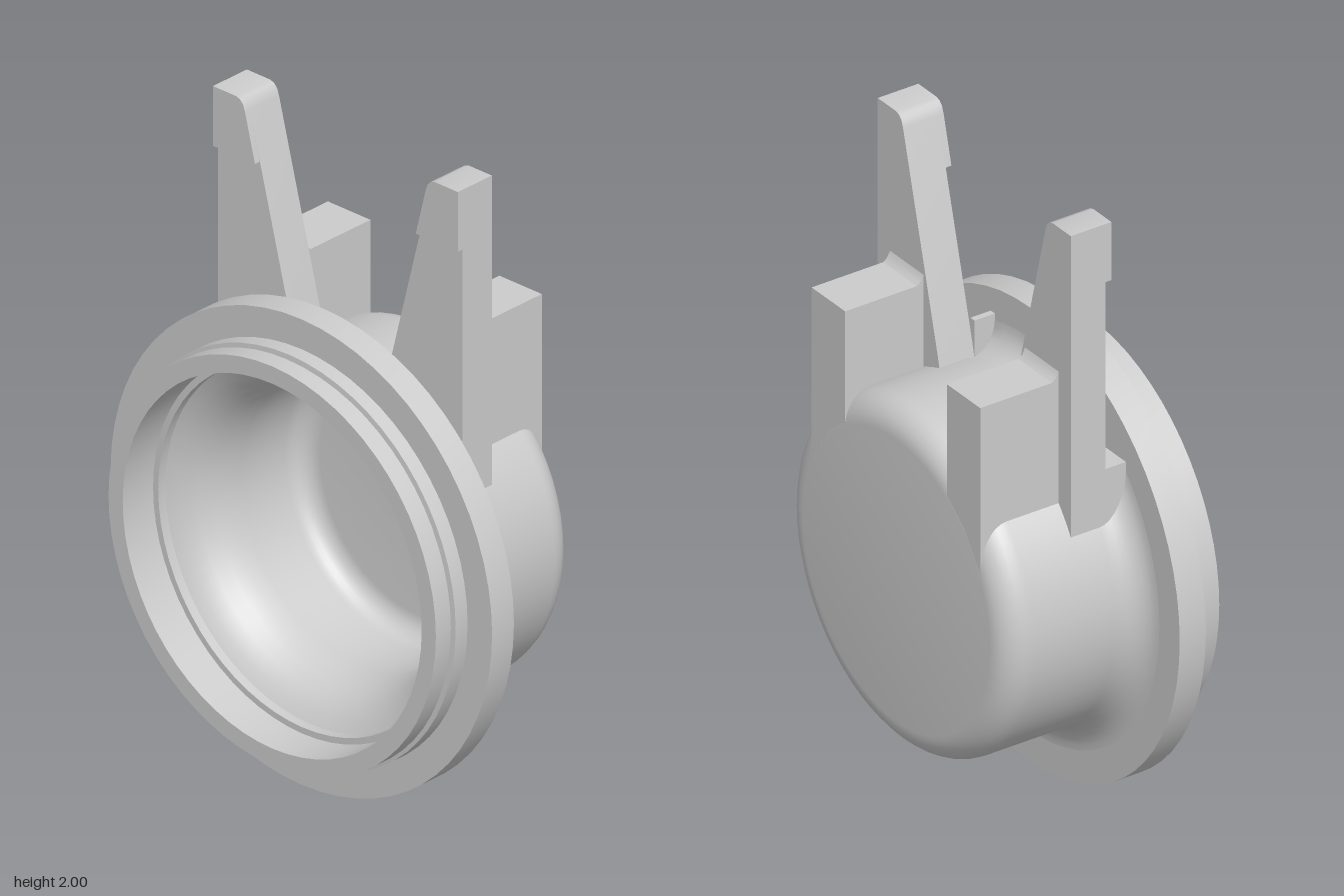
import * as THREE from 'three';
import { mergeGeometries, toCreasedNormals } from 'three/addons/utils/BufferGeometryUtils.js';

const AXIS_Y = 0.74; // height of the cap's horizontal axis
const material = new THREE.MeshStandardMaterial({ color: 0xcccccc, side: THREE.DoubleSide });

// Quarter arc in (radius, x) space
function arc(cr, cx, rad, from, to, steps = 8) {
  return Array.from({ length: steps + 1 }, (_, i) => {
    const a = from + (to - from) * i / steps;
    return [cr + rad * Math.cos(a), cx + rad * Math.sin(a)];
  });
}

// Turn a (radius, x) profile around the horizontal axis
function turned(profile) {
  const geo = new THREE.LatheGeometry(profile.map(([r, x]) => new THREE.Vector2(r, x)), 64);
  return geo.rotateZ(-Math.PI / 2).translate(0, AXIS_Y, 0);
}

// Extrude a (z, y) outline from x0 to x1, mirrored by side
function slab(points, x0, x1, side) {
  const shape = new THREE.Shape(points.map(([z, y]) => new THREE.Vector2(-side * z, y)));
  const geo = new THREE.ExtrudeGeometry(shape, { depth: x1 - x0, bevelEnabled: false });
  return geo.rotateY(Math.PI / 2).translate(x0, 0, 0);
}

export function createModel() {
  const group = new THREE.Group();
  const add = (name, geo, crease = 0.5) => {
    const mesh = new THREE.Mesh(toCreasedNormals(geo, crease), material);
    mesh.name = name;
    group.add(mesh);
  };

  // Flange with the stepped ring behind it
  add('flange', turned([
    [0.58, -0.335], [0.635, -0.335], [0.635, -0.275], [0.628, -0.272], [0.628, -0.266],
    [0.645, -0.264], [0.645, -0.215], [0.74, -0.215], [0.74, -0.125], [0.5, -0.125],
  ]));

  // Hub: fillet from the flange, barrel, rounded rim and closed end
  const hub = turned([
    ...arc(0.64, -0.035, 0.09, -Math.PI / 2, -Math.PI),
    ...arc(0.46, 0.245, 0.09, 0, Math.PI / 2),
    [0, 0.335],
  ]);
  // Flat pockets cut into the fillet behind the prongs
  const p = hub.attributes.position;
  for (let i = 0; i < p.count; i++) {
    const z = Math.abs(p.getZ(i));
    if (p.getX(i) < -0.05 && z > 0.19 && z < 0.475 && p.getY(i) > 1.2) p.setY(i, 1.2);
  }
  add('hub', hub);

  // Hollow inside, open at the back
  add('cavity', turned([
    [0, 0.265], ...arc(0.38, 0.195, 0.07, Math.PI / 2, 0), [0.45, 0.02],
    [0.455, -0.03], [0.47, -0.08], [0.49, -0.12], [0.53, -0.16], [0.56, -0.18],
    [0.56, -0.21], [0.58, -0.21], [0.58, -0.335],
  ]));

  const tip = [[0.475, 2], [0.385, 2], [0.37, 1.995], [0.358, 1.983], [0.35, 1.96]];
  for (const side of [1, -1]) {
    const label = side > 0 ? 'left' : 'right';

    // Tapered prong with a hooked tip
    const prong = slab([[0.475, 0.95], ...tip, [0.18, 1.3], [0.165, 1.23], [0.3, 1.165], [0.4, 1.07]],
      -0.055, 0.065, side);
    const hook = slab([[0.475, 1.81], ...tip, [0.312, 1.81]], -0.075, -0.055, side);
    add(label + 'Prong', mergeGeometries([prong, hook]));

    // Foot joining the prong to the flange, with a thin rib on its inner side
    const foot = slab([[0.475, 0.98], [0.475, 1.2], [0.28, 1.2], [0.3, 1.18], [0.4, 1.08]],
      -0.125, -0.055, side);
    const rib = slab([[0.17, 1.23], [0.17, 1.378], [0.19, 1.378], [0.19, 1.2]], -0.125, -0.055, side);
    add(label + 'ProngFoot', mergeGeometries([foot, rib]));

    // Support block in front of the prong
    add(label + 'Block', slab([[0.25, 1.138], [0.25, 1.5], [0.415, 1.5], [0.415, 0.96], [0.335, 1.07]],
      0.06, 0.335, side));

    // Small sloped fillet where the block meets the prong
    const wedge = new THREE.Shape([[0.06, 1.495], [0.095, 1.495], [0.075, 1.51], [0.065, 1.53], [0.06, 1.53]]
      .map(([x, y]) => new THREE.Vector2(x, y)));
    const wedgeGeo = new THREE.ExtrudeGeometry(wedge, { depth: 0.165, bevelEnabled: false });
    add(label + 'BlockFillet', wedgeGeo.translate(0, 0, side > 0 ? 0.25 : -0.415));
  }
  return group;
}
